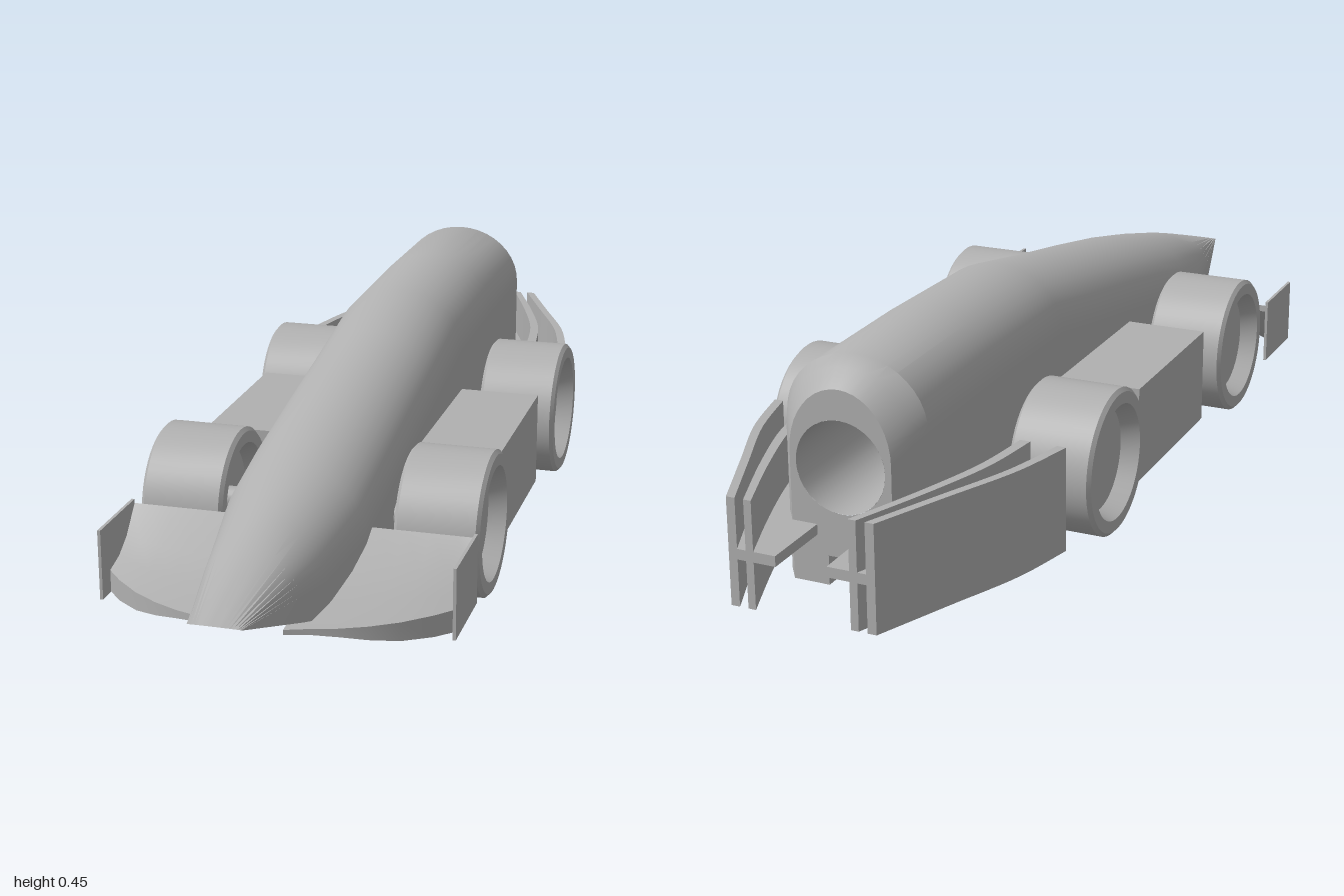
import * as THREE from 'three';
import { toCreasedNormals } from 'three/addons/utils/BufferGeometryUtils.js';

const grey = new THREE.MeshStandardMaterial({ color: 0xb0b0b0, name: 'grey' });
const greyOpen = new THREE.MeshStandardMaterial({ color: 0xb0b0b0, name: 'grey lining', side: THREE.DoubleSide });
const red = new THREE.MeshStandardMaterial({ color: 0xd01010, name: 'red', side: THREE.DoubleSide });

// Skin a row of closed rings, each counterclockwise when looking along the row
function loft(rings, crease = 0.5) {
  const pos = [];
  const put = (...vs) => vs.forEach(v => pos.push(v[0], v[1], v[2]));
  for (let i = 0; i < rings.length - 1; i++) {
    const n = rings[i].length;
    for (let j = 0; j < n; j++) {
      const k = (j + 1) % n;
      const a = rings[i][j], b = rings[i][k], c = rings[i + 1][j], d = rings[i + 1][k];
      put(a, c, b, b, c, d);
    }
  }
  const g = new THREE.BufferGeometry();
  g.setAttribute('position', new THREE.Float32BufferAttribute(pos, 3));
  return toCreasedNormals(g, crease);
}

// Hull section: flat floor with guide slot, upright sides, arched roof
const SLOT = 0.029, CEILING = 0.083;
function hullSection(w, bottom, top) {
  const ry = Math.min(0.125, (top - bottom) * 0.6), pts = [[w, bottom]];
  for (let i = 0; i <= 20; i++) {
    const t = Math.PI * i / 20;
    pts.push([w * Math.cos(t), top - ry + ry * Math.sin(t)]);
  }
  const c = Math.max(CEILING, bottom);
  pts.push([-w, bottom], [-SLOT, bottom], [-SLOT, c], [SLOT, c], [SLOT, bottom]);
  return pts;
}

// Plan outline (x, z) raised from y0 to y1
function planExtrude(outline, y0, y1) {
  const shape = new THREE.Shape(outline.map(([x, z]) => new THREE.Vector2(x, -z)));
  const g = new THREE.ExtrudeGeometry(shape, { depth: y1 - y0, bevelEnabled: false });
  g.rotateX(-Math.PI / 2).translate(0, y0, 0);
  return toCreasedNormals(g, 0.5);
}

const curve = pts => new THREE.SplineCurve(pts.map(p => new THREE.Vector2(...p)))
  .getPoints(16).map(p => [p.x, p.y]);

export function createModel() {
  const model = new THREE.Group();
  const add = (name, geo, mat = grey, parent = model) => {
    const m = new THREE.Mesh(geo, mat);
    m.name = name;
    parent.add(m);
    return m;
  };

  // Hull stations: z, half width, floor, roof
  const stations = [
    [1, 0.048, 0.175, 0.176], [0.8, 0.094, 0.108, 0.237], [0.72, 0.11, 0.083, 0.26],
    [0.55, 0.138, 0.026, 0.302], [0.4, 0.14, 0.026, 0.335], [0.2, 0.14, 0.026, 0.372],
    [0, 0.14, 0.026, 0.406], [-0.2, 0.14, 0.026, 0.443], [-0.5, 0.14, 0.026, 0.449],
    [-0.79, 0.14, 0.026, 0.445], [-0.82, 0.125, 0.026, 0.43], [-0.855, 0.1, 0.026, 0.4],
  ];
  add('body', loft(stations.map(([z, w, b, t]) => hullSection(w, b, t).map(([x, y]) => [x, y, z]))));

  // Rear face with the bore opening
  const R = 0.088, BORE_Y = 0.255, BACK = -0.855, BORE_END = -0.45;
  const face = new THREE.Shape(hullSection(0.1, 0.026, 0.4).map(p => new THREE.Vector2(...p)));
  face.holes.push(new THREE.Path().absarc(0, BORE_Y, R, 0, Math.PI * 2, true));
  add('rearFace', new THREE.ShapeGeometry(face, 24).rotateY(Math.PI).translate(0, 0, BACK));
  const bore = new THREE.CylinderGeometry(R, R, BORE_END - BACK, 32, 1, true).rotateX(Math.PI / 2);
  add('bore', bore.translate(0, BORE_Y, (BACK + BORE_END) / 2), greyOpen);
  const halfDisc = start => new THREE.CircleGeometry(R, 24, start, Math.PI).translate(0, BORE_Y, BORE_END);
  add('boreEndUpper', halfDisc(0), greyOpen);
  add('boreEndLower', halfDisc(Math.PI), red);

  // Red tapering strip on the slot wall
  const strip = new THREE.Shape([[-0.5, 0.03], [0.35, 0.074], [0.35, 0.08], [-0.5, 0.08]]
    .map(p => new THREE.Vector2(...p)));
  add('slotStrip', new THREE.ShapeGeometry(strip).rotateY(Math.PI / 2).translate(-SLOT + 0.001, 0, 0), red);

  // Wheel turned about its axle, dished on both faces
  const h = 0.0825;
  const halfProfile = [[0, h - 0.035], [0.1, h - 0.035], [0.113, h], [0.136, h], [0.1435, h - 0.007]];
  const profile = [
    ...halfProfile.map(([r, y]) => new THREE.Vector2(r, -y)),
    ...halfProfile.slice().reverse().map(([r, y]) => new THREE.Vector2(r, y)),
  ];
  const wheelGeo = toCreasedNormals(new THREE.LatheGeometry(profile, 48).rotateZ(Math.PI / 2), 0.5);

  for (const [end, z] of [['front', 0.342], ['rear', -0.387]]) {
    add(end + 'Axle', new THREE.CylinderGeometry(0.023, 0.023, 0.42, 20).rotateZ(Math.PI / 2))
      .position.set(0, 0.1435, z);
    for (const s of [1, -1]) {
      const side = s > 0 ? 'Left' : 'Right';
      add(end + 'Wheel' + side, wheelGeo).position.set(s * 0.2525, 0.1435, z);
      add(end + 'Hub' + side, new THREE.CylinderGeometry(0.028, 0.028, 0.02, 20).rotateZ(Math.PI / 2))
        .position.set(s * 0.16, 0.1435, z);
    }
  }

  for (const s of [1, -1]) {
    const side = s > 0 ? 'Left' : 'Right';

    // Side pod
    add('sidePod' + side, new THREE.BoxGeometry(0.18, 0.196, 0.378)).position.set(s * 0.218, 0.128, -0.022);

    // Front wing, swept and upturned: x, leading z, leading bottom y
    const wing = [[0.06, 0.815, 0.086], [0.1, 0.8, 0.085], [0.15, 0.785, 0.08], [0.2, 0.762, 0.07],
      [0.25, 0.73, 0.06], [0.3, 0.685, 0.054], [0.335, 0.645, 0.052]];
    const rings = wing.map(([x, zl, low]) => {
      const mid = t => 0.515 + (zl - 0.515) * t;
      const ring = [[zl, low], [zl, 0.096], [mid(0.65), 0.108], [mid(0.35), 0.132], [0.515, 0.182],
        [0.515, 0.168], [mid(0.35), 0.108], [mid(0.65), low + 0.012]];
      return (s > 0 ? ring : ring.reverse()).map(([z, y]) => [s * x, y, z]);
    });
    add('frontWing' + side, loft(rings, 0.6));
    add('wingEndPlate' + side, new THREE.BoxGeometry(0.006, 0.138, 0.17)).position.set(s * 0.337, 0.121, 0.6);

    // Two curved rear fins and the plate joining them to the hull
    const outer = curve([[0.303, -0.565], [0.268, -0.7], [0.205, -0.85], [0.142, -1]]);
    const outerIn = curve([[0.285, -0.565], [0.25, -0.7], [0.188, -0.85], [0.125, -1]]);
    const inner = curve([[0.232, -0.565], [0.212, -0.7], [0.165, -0.85], [0.108, -1]]);
    const innerIn = curve([[0.212, -0.565], [0.193, -0.7], [0.148, -0.85], [0.093, -1]]);
    const flip = pts => pts.map(([x, z]) => [s * x, z]);
    add('outerFin' + side, planExtrude(flip([...outer, ...outerIn.reverse()]), 0.03, 0.235));
    add('innerFin' + side, planExtrude(flip([...inner, ...innerIn.reverse()]), 0.03, 0.235));
    add('finPlate' + side, planExtrude(flip([...outer, [0.05, -1], [0.05, -0.8], [0.13, -0.565]]), 0.12, 0.14));
  }
  return model;
}
